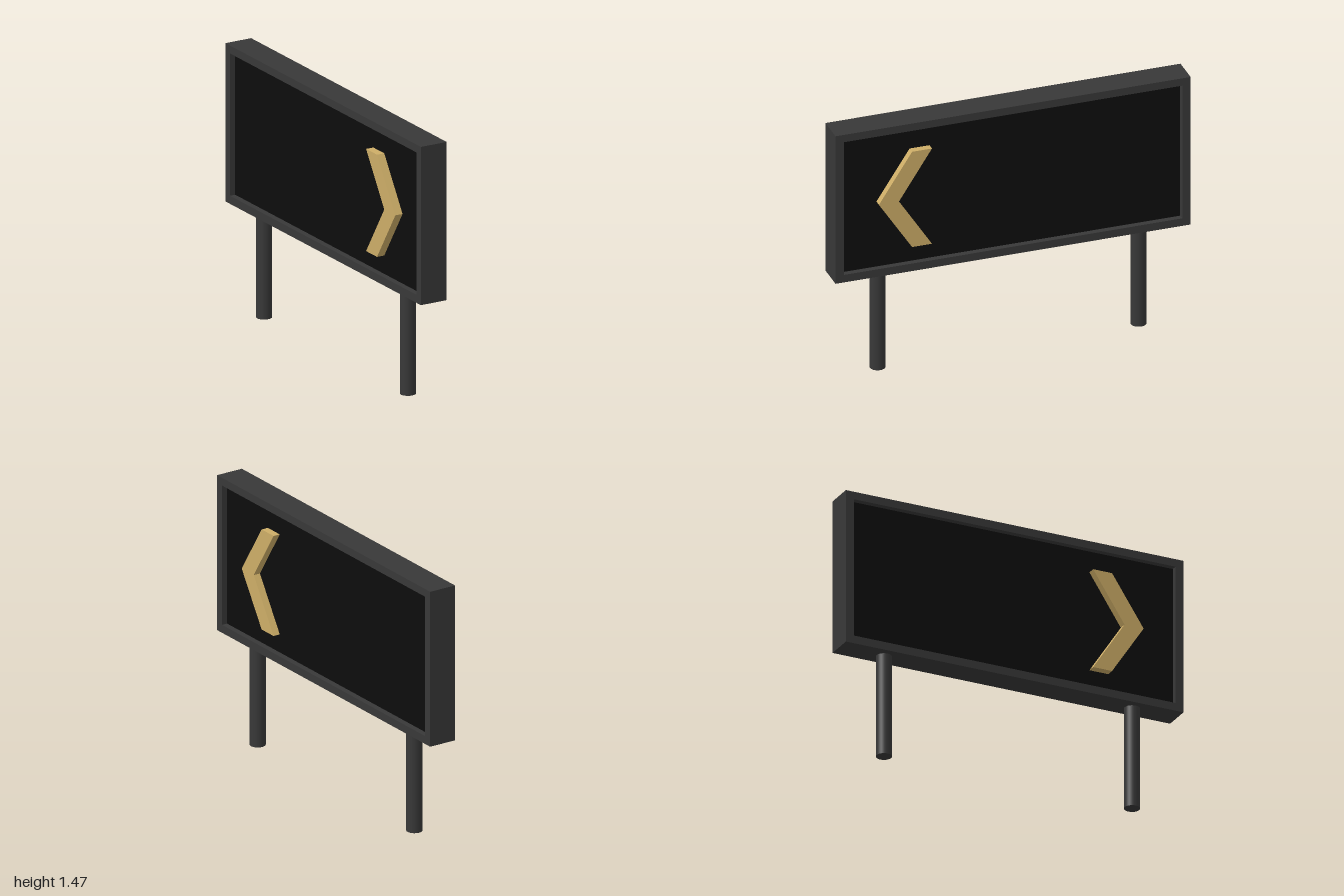
import * as THREE from 'three';

const material = (name, color) => {
  const m = new THREE.MeshStandardMaterial({ color });
  m.name = name;
  return m;
};

// Upright plate drawn in (z, y) and filling x0..x1
function plate(name, shape, x0, x1, mat) {
  const geometry = new THREE.ExtrudeGeometry(shape, { depth: x1 - x0, bevelEnabled: false });
  geometry.rotateY(-Math.PI / 2); // shape x becomes z, depth runs along -x
  geometry.translate(x1, 0, 0);
  const mesh = new THREE.Mesh(geometry, mat);
  mesh.name = name;
  return mesh;
}

const outline = (Type, points) => new Type(points.map(([z, y]) => new THREE.Vector2(z, y)));
const rectangle = (Type, z, y0, y1) => outline(Type, [[-z, y0], [z, y0], [z, y1], [-z, y1]]);

export function createModel() {
  const group = new THREE.Group();
  group.name = 'chevronSign';
  const frameGrey = material('frame grey', 0x383838);
  const panelBlack = material('panel black', 0x0d0d0d);
  const chevronGold = material('chevron gold', 0xcdad67);
  const centreX = 0.002;

  // Open frame around the board
  const frameShape = rectangle(THREE.Shape, 1, 0.585, 1.472);
  frameShape.holes.push(rectangle(THREE.Path, 0.953, 0.63, 1.428));
  group.add(plate('frame', frameShape, centreX - 0.08, centreX + 0.08, frameGrey));

  // Recessed black board
  const panel = new THREE.Mesh(new THREE.BoxGeometry(0.094, 0.798, 1.906), panelBlack);
  panel.name = 'panel';
  panel.position.set(centreX, 1.029, 0);
  group.add(panel);

  // Raised chevron on each face, both pointing to +z
  const chevron = outline(THREE.Shape, [
    [0.758, 1.02], [0.571, 1.306], [0.459, 1.306],
    [0.645, 1.02], [0.459, 0.733], [0.571, 0.733],
  ]);
  group.add(plate('leftChevron', chevron, 0.045, 0.089, chevronGold));
  group.add(plate('rightChevron', chevron, -0.09, -0.04, chevronGold));

  // Round posts
  for (const side of [1, -1]) {
    const post = new THREE.Mesh(new THREE.CylinderGeometry(0.043, 0.043, 0.59, 32), frameGrey);
    post.name = side > 0 ? 'frontPost' : 'backPost';
    post.position.set(centreX, 0.295, side * 0.735);
    group.add(post);
  }
  return group;
}
